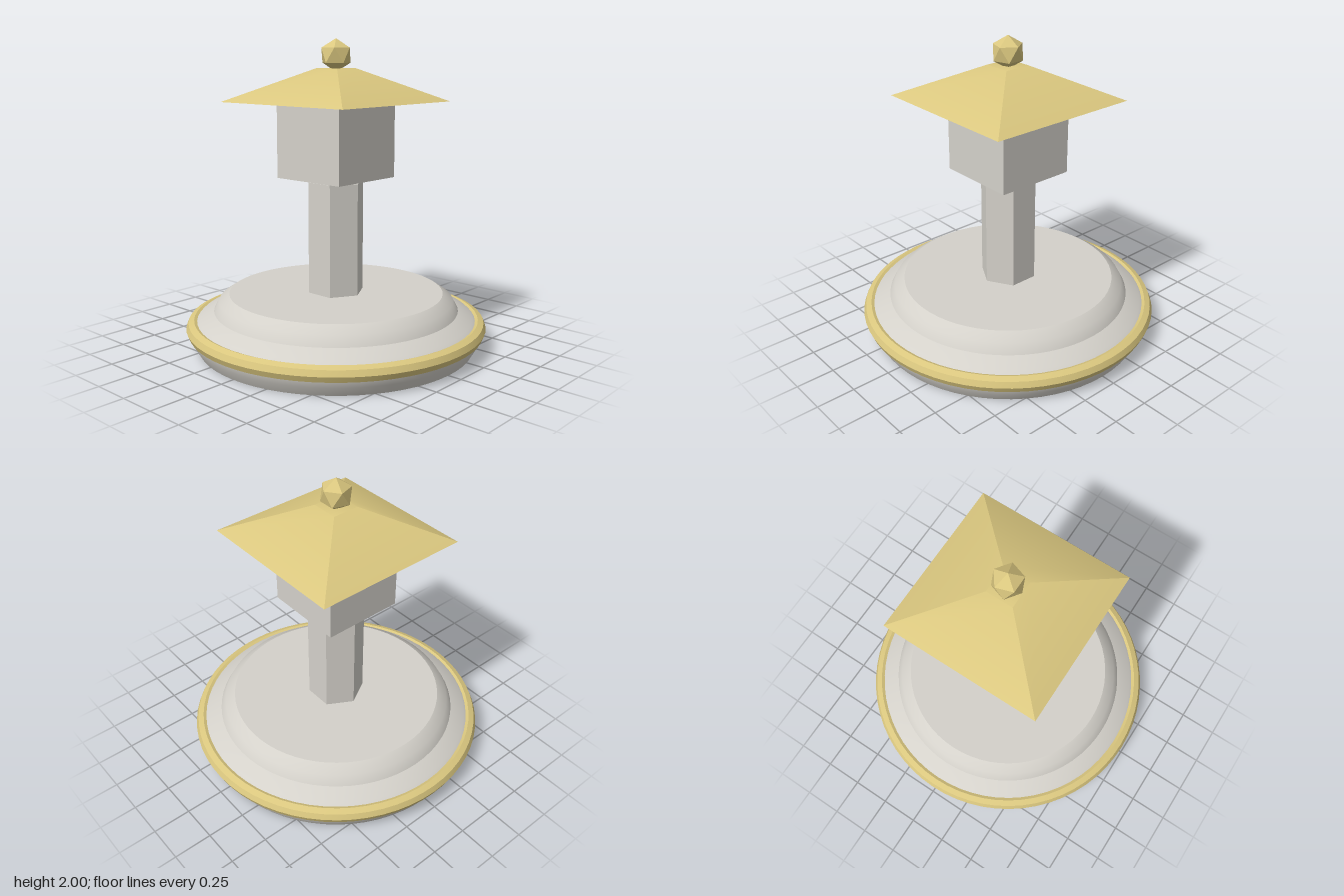
import * as THREE from 'three';
import { toCreasedNormals } from 'three/addons/utils/BufferGeometryUtils.js';

export function createModel() {
  const stone = new THREE.MeshStandardMaterial({ color: 0xd4d1ca });
  stone.name = 'pale stone';
  const gold = new THREE.MeshStandardMaterial({ color: 0xdac77f });
  gold.name = 'soft gold';

  const model = new THREE.Group();
  model.name = 'lanternOnBase';

  const add = (name, geometry, material, y = 0, parent = model) => {
    const mesh = new THREE.Mesh(geometry, material);
    mesh.name = name;
    mesh.position.y = y;
    parent.add(mesh);
    return mesh;
  };

  // Round base: one lathe per band, so each band is smooth and its edges stay sharp
  const base = new THREE.Group();
  base.name = 'base';
  model.add(base);
  const bands = {
    baseUnderside: [[0, 0], [0.91, 0]],
    baseFoot: [[0.91, 0], [0.945, 0.06], [0.955, 0.1]],
    baseSkirt: [[0.95, 0.15], [0.9, 0.2], [0.805, 0.245]],
    baseShoulder: [[0.805, 0.245], [0.77, 0.31], [0.704, 0.353]],
    baseTop: [[0.704, 0.353], [0, 0.353]],
  };
  for (const [name, points] of Object.entries(bands)) {
    const profile = points.map(([r, y]) => new THREE.Vector2(r, y));
    add(name, new THREE.LatheGeometry(profile, 64), stone, 0, base);
  }

  // Eight-sided gold band around the base
  const ring = new THREE.TorusGeometry(0.935, 0.052, 8, 64).rotateX(Math.PI / 2);
  add('baseRing', toCreasedNormals(ring, 0.5), gold, 0.14);

  // Hexagonal post with a corner to the front
  const post = new THREE.CylinderGeometry(0.187, 0.187, 0.735, 6);
  add('post', toCreasedNormals(post, 0.5), stone, 0.3505 + 0.3675);

  // Lantern box, floating just above the post
  add('lanternBox', new THREE.BoxGeometry(0.536, 0.49, 0.536), stone, 1.355);

  // Square roof with a small flat top
  const roof = new THREE.CylinderGeometry(0.09 * Math.SQRT2, 0.52 * Math.SQRT2, 0.212, 4)
    .rotateY(Math.PI / 4);
  add('roof', toCreasedNormals(roof, 0.6), gold, 1.706);

  // Faceted finial, turned so that one corner points up
  const finial = new THREE.IcosahedronGeometry(0.106, 0).rotateZ(-0.5536);
  add('finial', finial, gold, 1.894);

  return model;
}
